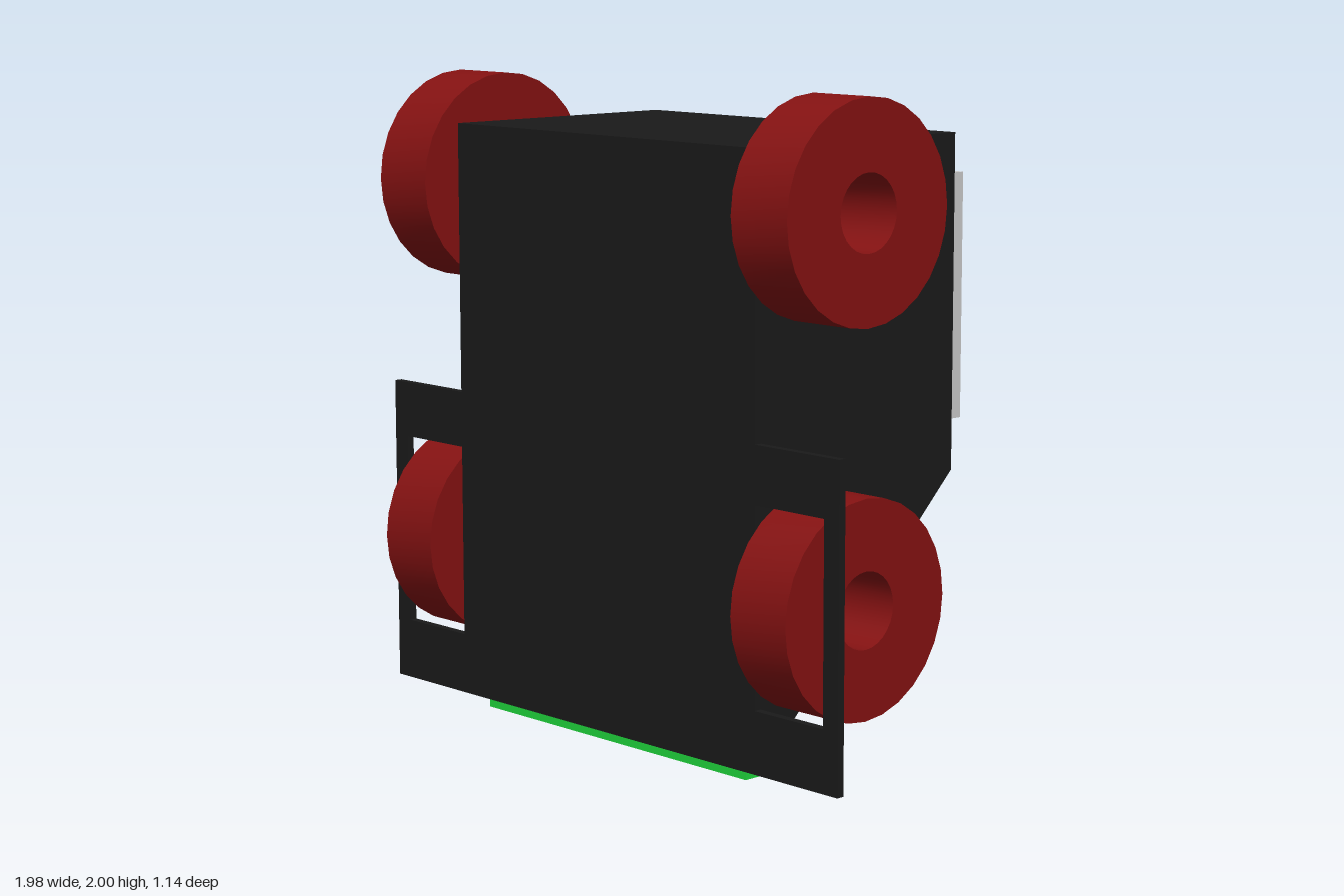
import * as THREE from 'three';
import { toCreasedNormals } from 'three/addons/utils/BufferGeometryUtils.js';

const mat = (color) => new THREE.MeshStandardMaterial({ color });
const black = mat(0x1a1a1a), red = mat(0x851212), grey = mat(0xcccccc);
const green = mat(0x1fd63c), orange = mat(0xcc701c), olive = mat(0x3d4014);

export function createModel() {
  const model = new THREE.Group();
  model.name = 'wheeledRobot';

  const add = (name, geometry, material) => {
    const mesh = new THREE.Mesh(geometry, material);
    mesh.name = name;
    model.add(mesh);
    return mesh;
  };
  // Box given by its extents on each axis
  const box = (name, material, x0, x1, y0, y1, z0, z1) => {
    const mesh = add(name, new THREE.BoxGeometry(x1 - x0, y1 - y0, z1 - z0), material);
    mesh.position.set((x0 + x1) / 2, (y0 + y1) / 2, (z0 + z1) / 2);
    return mesh;
  };
  const polygon = (points) => new THREE.Shape(points.map(([x, y]) => new THREE.Vector2(x, y)));
  const extrude = (shape, depth) =>
    new THREE.ExtrudeGeometry(shape, { depth, bevelEnabled: false, curveSegments: 14 });

  // Hollow body shell, open along the sloping underside
  const W = 0.655, T = 0.025, front = 0.453, back = -0.385, low = 0.04, top = 1.853;
  box('frontWall', black, -W, W, low, top, front - T, front);
  box('backWall', black, -W, W, 0.83, top, back, back + T);
  box('topWall', black, -W, W, top - T, top, back, front);
  const sideProfile = polygon([
    [-front, low], [-front + T, low], [-back, 0.83], [-back, top], [-front, top],
  ]);
  const sideGeometry = extrude(sideProfile, T).rotateY(Math.PI / 2);
  add('rightWall', sideGeometry, black).position.x = -W;
  add('leftWall', sideGeometry, black).position.x = W - T;

  // Flat wheel guards: C-shaped wings beside the front wall
  const guardShape = polygon([
    [W, low], [0.988, low], [0.988, 1.01], [W, 1.01],
    [W, 0.835], [0.93, 0.835], [0.93, 0.23], [W, 0.23],
  ]);
  const guardGeometry = extrude(guardShape, T);
  add('leftGuard', guardGeometry, black).position.z = front - T;
  const rightGuard = add('rightGuard', guardGeometry, black);
  rightGuard.rotation.y = Math.PI;
  rightGuard.position.z = front;

  // Four wheels with a hole through the hub
  const ring = new THREE.Shape().absarc(0, 0, 0.327, 0, Math.PI * 2);
  ring.holes.push(new THREE.Path().absarc(0, 0, 0.115, 0, Math.PI * 2, true));
  const wheelGeometry = toCreasedNormals(
    extrude(ring, 0.22).translate(0, 0, -0.11).rotateY(Math.PI / 2), 0.6);
  for (const side of [-1, 1]) {
    for (const [row, y] of [['lower', 0.532], ['upper', 1.673]]) {
      add(`${row}${side > 0 ? 'Left' : 'Right'}Wheel`, wheelGeometry, red)
        .position.set(side * 0.785, y, 0.243);
    }
  }

  // Sensor housing at the bottom, with its light strip
  box('sensorHousing', black, -0.59, 0.59, low, 0.365, 0.25, front - T);
  box('sensorCover', black, -0.28, 0.28, low, 0.365, 0.175, 0.25);
  box('lightStrip', green, -0.58, 0.58, 0, low, 0.263, 0.413);

  // Control panel on the back
  const panel = -0.555, face = -0.57;
  box('controlPanel', grey, -0.538, 0.538, 0.957, 1.717, panel, back);
  box('centreButton', red, -0.08, 0.08, 1.39, 1.515, face, panel);
  for (const side of [-1, 1]) {
    const corners = [[side * 0.125, 1.39], [side * 0.235, 1.453], [side * 0.125, 1.515]];
    add(side > 0 ? 'leftArrowButton' : 'rightArrowButton',
      extrude(polygon(corners), panel - face), orange).position.z = face;
  }

  // Display: frame around a recessed screen
  const frame = polygon([[-0.453, 1.07], [0.453, 1.07], [0.453, 1.24], [-0.453, 1.24]]);
  frame.holes.push(polygon([[-0.405, 1.112], [-0.405, 1.198], [0.405, 1.198], [0.405, 1.112]]));
  add('displayFrame', extrude(frame, panel - face), black).position.z = face;
  box('displayScreen', olive, -0.405, 0.405, 1.112, 1.198, face + 0.005, panel);

  return model;
}
